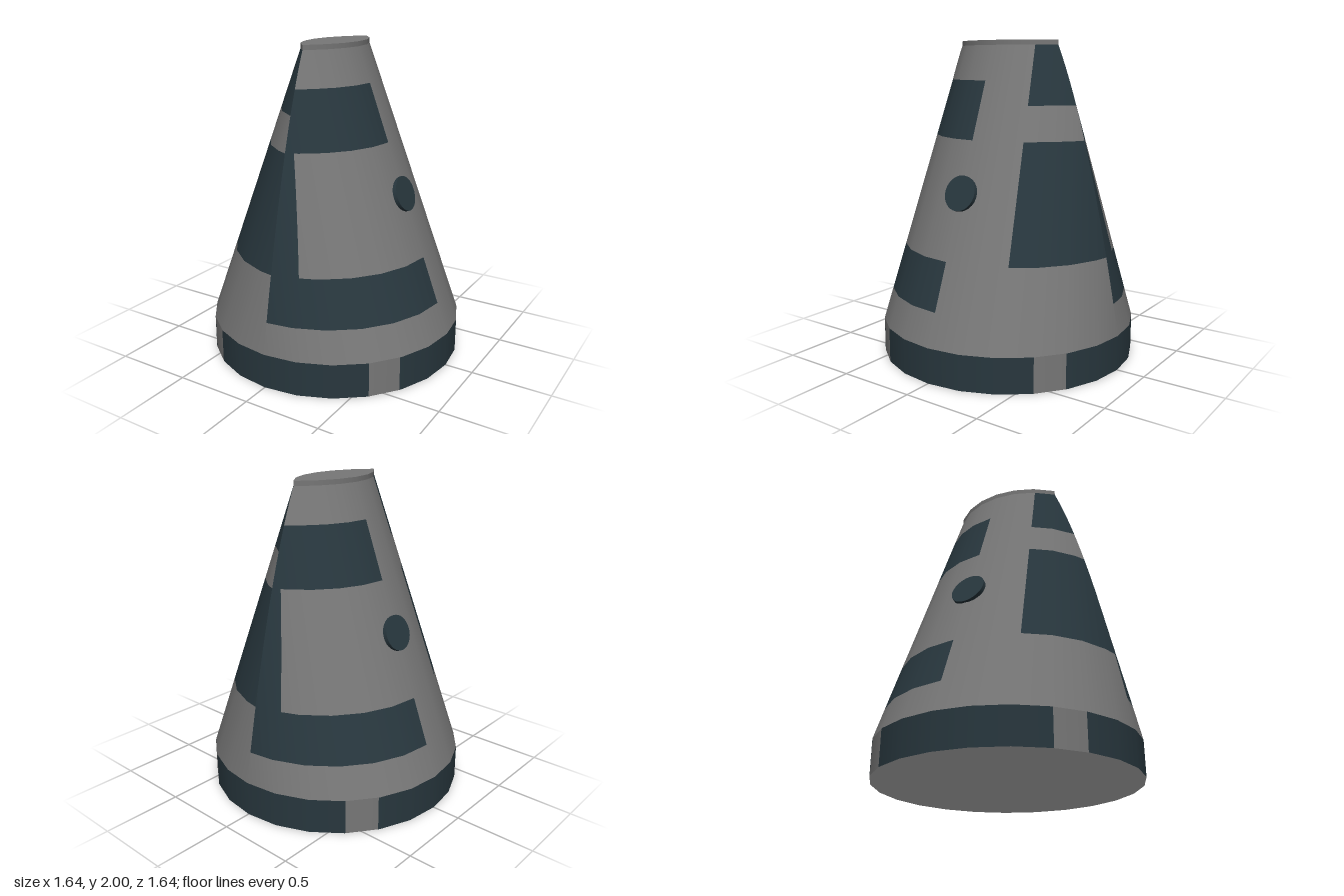
import * as THREE from 'three';

const RIM = 0.22, NECK = 1.97, TOP = 2, BASE_R = 0.82, STEP = 15;
const rad = THREE.MathUtils.degToRad;

// Each half is a leaning 24-sided cone cut off at x = 0, so the halves meet in a ridge.
const rise = y => THREE.MathUtils.clamp((y - RIM) / (NECK - RIM), 0, 1);
const radiusAt = y => BASE_R - 0.312 * rise(y);
const shiftAt = y => 0.348 * rise(y);
const ridgeAngle = y => THREE.MathUtils.radToDeg(Math.acos(shiftAt(y) / radiusAt(y)));

function surfacePoint(angle, y) {
  const limit = ridgeAngle(y), r = radiusAt(y);
  if (Math.abs(angle) >= limit) {
    const a = Math.sign(angle) * limit;
    return { a, p: [0, y, r * Math.sin(rad(a))] };
  }
  const a0 = Math.floor(angle / STEP) * STEP, f = (angle - a0) / STEP;
  const mix = fn => r * THREE.MathUtils.lerp(fn(rad(a0)), fn(rad(a0 + STEP)), f);
  return { a: angle, p: [Math.max(0, mix(Math.cos) - shiftAt(y)), y, mix(Math.sin)] };
}

function surfaceNormal(angle, sloped) {
  const c = Math.cos(rad(angle)), s = Math.sin(rad(angle));
  return new THREE.Vector3(c, sloped ? (0.312 + 0.348 * c) / (NECK - RIM) : 0, s).normalize().toArray();
}

// Inner edge of the upright bar of the C-shaped panel
const barEdge = y => 62.5 + 6.5 * THREE.MathUtils.clamp((1.4 - y) / 0.7, 0, 1);

// Which cells carry the dark paint (a = mid angle in degrees, y = mid height)
function isPainted(a, y) {
  if (y < RIM) return !((a > 30.7 && a < 44.7) || (a > -59.3 && a < -45.4));
  if (a > 0) {
    if ((y > 0.415 && y < 0.7) || (y > 1.4 && y < 1.755)) return true;
    return y > 0.7 && y < 1.4 && a > barEdge(y);
  }
  return a < -31 && ((y > 0.7 && y < 1.4) || (y > 1.61 && y < NECK));
}

// Half of the outer skin, either its bare cells or its painted cells
function skinGeometry(painted) {
  const pos = [], nor = [];
  const levels = [0, RIM, 0.415, 0.7, 1.4, 1.61, 1.755, NECK, TOP];
  // Facet corners plus the panel edges between them
  const angles = [-90, -75, -60, -59.3, -45.4, -45, -31, -30, -15, 0, 15, 30, 30.7, 44.7, 45, 60]
    .map(a => () => a);
  angles.push(barEdge, () => 75, () => 90);
  for (let l = 0; l < levels.length - 1; l++) {
    const sloped = levels[l] >= RIM && levels[l] < NECK;
    const rows = sloped ? 6 : 1;
    for (let i = 0; i < rows; i++) {
      const y0 = THREE.MathUtils.lerp(levels[l], levels[l + 1], i / rows);
      const y1 = THREE.MathUtils.lerp(levels[l], levels[l + 1], (i + 1) / rows);
      const ym = (y0 + y1) / 2;
      for (let k = 0; k < angles.length - 1; k++) {
        const lo = angles[k], hi = angles[k + 1];
        if (isPainted((lo(ym) + hi(ym)) / 2, ym) !== painted) continue;
        const q = [surfacePoint(lo(y0), y0), surfacePoint(lo(y1), y1),
          surfacePoint(hi(y1), y1), surfacePoint(hi(y0), y0)];
        for (const tri of [[0, 1, 2], [0, 2, 3]]) {
          const [a, b, c] = tri.map(j => new THREE.Vector3(...q[j].p));
          if (b.sub(a).cross(c.sub(a)).length() < 1e-9) continue;
          for (const j of tri) {
            pos.push(...q[j].p);
            nor.push(...surfaceNormal(q[j].a, sloped));
          }
        }
      }
    }
  }
  const g = new THREE.BufferGeometry();
  g.setAttribute('position', new THREE.Float32BufferAttribute(pos, 3));
  g.setAttribute('normal', new THREE.Float32BufferAttribute(nor, 3));
  return g;
}

function namedMaterial(name, color) {
  const material = new THREE.MeshStandardMaterial({ color });
  material.name = name;
  return material;
}

export function createModel() {
  const model = new THREE.Group();
  model.name = 'ridgedCone';
  const grey = namedMaterial('hull grey', 0x777777);
  const slate = namedMaterial('panel slate', 0x28373e);
  const pale = namedMaterial('underside pale grey', 0xcecece);
  const add = (parent, name, geometry, material) => {
    const mesh = new THREE.Mesh(geometry, material);
    mesh.name = name;
    parent.add(mesh);
    return mesh;
  };

  // Two identical halves, turned half a circle apart
  const hull = skinGeometry(false), panels = skinGeometry(true);
  const disc = new THREE.CylinderGeometry(0.11, 0.11, 0.026, 32);
  const lean = Math.atan2(0.66, NECK - RIM);
  ['left', 'right'].forEach((side, i) => {
    const half = new THREE.Group();
    half.name = side + 'Half';
    half.rotation.y = i * Math.PI;
    add(half, side + 'Hull', hull, grey);
    add(half, side + 'Panels', panels, slate);
    // Round hatch lying on the slope
    const hatch = add(half, side + 'Hatch', disc, slate);
    hatch.position.set(0.492, 1.09, 0);
    hatch.rotation.z = lean - Math.PI / 2;
    model.add(half);
  });

  // Lens-shaped top
  const outline = [];
  for (const sign of [1, -1]) {
    for (const a of [-90, -45, -30, -15, 0, 15, 30, 45]) {
      const { p } = surfacePoint(a, TOP);
      outline.push(new THREE.Vector2(sign * p[0], sign * p[2]));
    }
  }
  const lid = new THREE.ShapeGeometry(new THREE.Shape(outline));
  lid.rotateX(-Math.PI / 2);
  add(model, 'topLid', lid, grey).position.y = TOP;

  // Flat underside
  const floor = new THREE.CircleGeometry(BASE_R, 24);
  floor.rotateX(Math.PI / 2);
  add(model, 'underside', floor, pale);
  return model;
}
